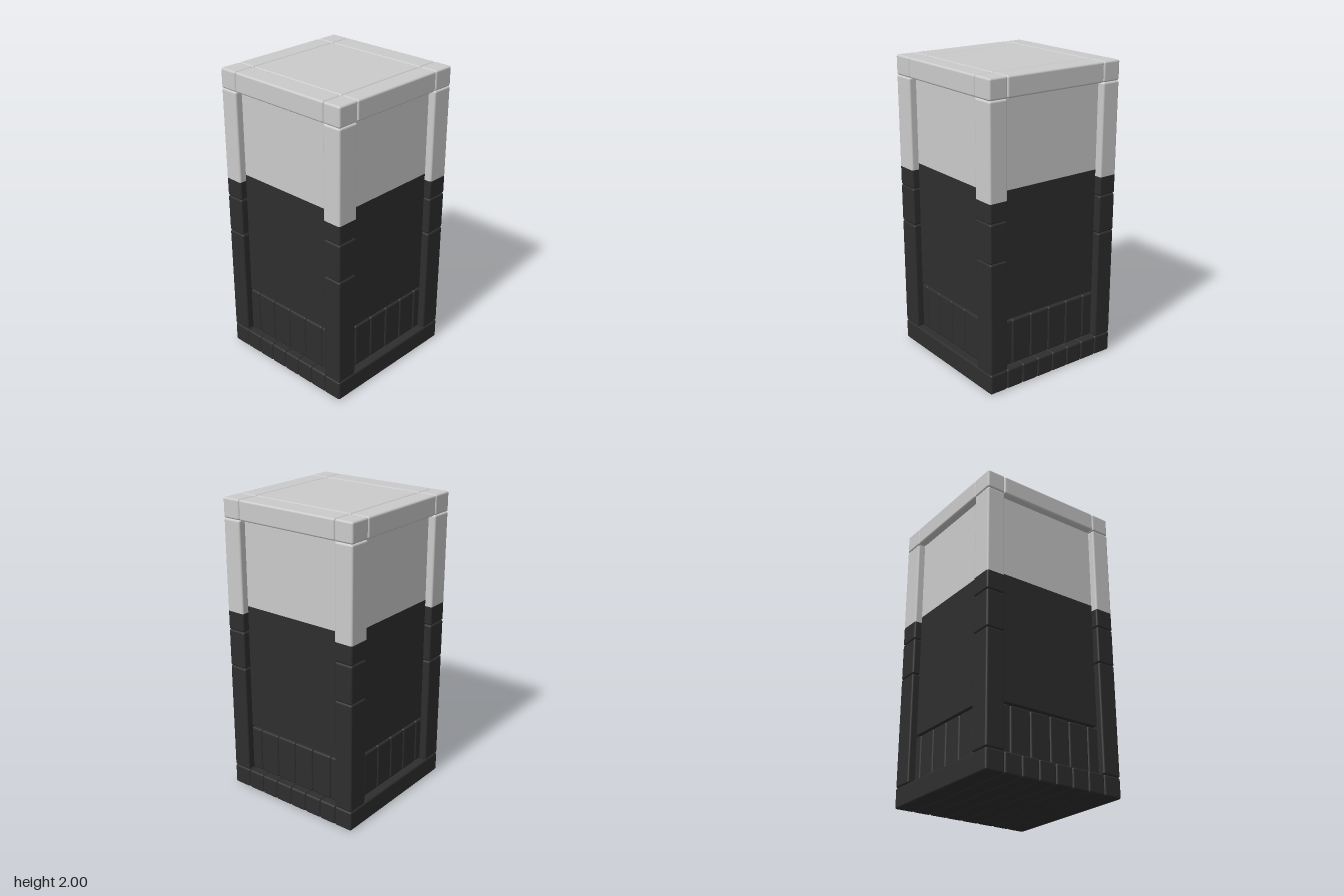
import * as THREE from 'three';
import { RoundedBoxGeometry } from 'three/addons/geometries/RoundedBoxGeometry.js';

const dark = new THREE.MeshStandardMaterial({ color: 0x2e2e2e });
dark.name = 'charcoal';
const light = new THREE.MeshStandardMaterial({ color: 0xcbcbcb });
light.name = 'pale grey';

const BEVEL = 0.013;

// Bevelled block given by its extents; clampLow / clampHigh leave that end square
function block(parent, name, mat, [x0, x1], [y0, y1], [z0, z1], clampLow = false, clampHigh = false) {
  const low = clampLow ? y0 - 0.03 : y0;
  const high = clampHigh ? y1 + 0.03 : y1;
  const geo = new RoundedBoxGeometry(x1 - x0, high - low, z1 - z0, 2, BEVEL);
  geo.translate((x0 + x1) / 2, (low + high) / 2, (z0 + z1) / 2);
  const p = geo.attributes.position;
  for (let i = 0; i < p.count; i++) p.setY(i, THREE.MathUtils.clamp(p.getY(i), y0, y1));
  const mesh = new THREE.Mesh(geo, mat);
  mesh.name = name;
  parent.add(mesh);
}

// Square-edged sheet for the walls
function sheet(parent, name, mat, width, y0, y1, z0, z1) {
  const mesh = new THREE.Mesh(new THREE.BoxGeometry(width, y1 - y0, z1 - z0), mat);
  mesh.position.set(0, (y0 + y1) / 2, (z0 + z1) / 2);
  mesh.name = name;
  parent.add(mesh);
}

export function createModel() {
  const model = new THREE.Group();
  model.name = 'cabinet';
  const X = 0.37, Z = 0.35, OUT = 0.5;

  // Floor of eight planks running front to back
  const floor = new THREE.Group();
  floor.name = 'floor';
  model.add(floor);
  const edges = [-OUT];
  for (let i = 0; i <= 6; i++) edges.push(-X + (i * 2 * X) / 6);
  edges.push(OUT);
  for (let i = 0; i < 8; i++) {
    block(floor, 'floorPlank', dark, [edges[i], edges[i + 1]], [0, 0.135], [-OUT, OUT]);
  }

  // Corner posts in stacked sections, each with a roof corner on top
  for (const sx of [-1, 1]) for (const sz of [-1, 1]) {
    const post = new THREE.Group();
    post.name = (sz > 0 ? 'front' : 'back') + (sx > 0 ? 'Left' : 'Right') + 'Post';
    model.add(post);
    const xs = sx > 0 ? [X, OUT] : [-OUT, -X];
    const zs = sz > 0 ? [Z, OUT] : [-OUT, -Z];
    block(post, 'lowerPost', dark, xs, [0.135, 0.88], zs);
    block(post, 'postCollar', dark, xs, [0.88, 1.135], zs);
    block(post, 'upperPostBase', dark, xs, [1.135, 1.262], zs, false, true);
    block(post, 'upperPost', light, xs, [1.262, 1.87], zs, true, false);
    block(post, 'roofCorner', light, xs, [1.87, 2], zs);
  }

  // Four recessed walls: slatted skirting, open slit, two-tone panel
  ['frontWall', 'leftWall', 'backWall', 'rightWall'].forEach((name, k) => {
    const wall = new THREE.Group();
    wall.name = name;
    wall.rotation.y = (k * Math.PI) / 2;
    model.add(wall);
    const step = 0.147;
    for (let i = -3; i < 3; i++) {
      block(wall, 'skirtingSlat', dark, [i * step, (i + 1) * step], [0.135, 0.443], [0.385, 0.45]);
    }
    sheet(wall, 'lowerPanel', dark, 0.8, 0.457, 1.305, 0.4, 0.45);
    sheet(wall, 'upperPanel', light, 0.8, 1.305, 1.9, 0.4, 0.45);
  });

  // Roof beams and the lid between them
  const roof = new THREE.Group();
  roof.name = 'roof';
  model.add(roof);
  for (const s of [-1, 1]) {
    block(roof, s > 0 ? 'frontBeam' : 'backBeam', light, [-X, X], [1.87, 2], s > 0 ? [Z, OUT] : [-OUT, -Z]);
    block(roof, s > 0 ? 'leftBeam' : 'rightBeam', light, s > 0 ? [X, OUT] : [-OUT, -X], [1.87, 2], [-Z, Z]);
  }
  block(roof, 'lid', light, [-X, X], [1.87, 2], [-Z, Z]);

  return model;
}
